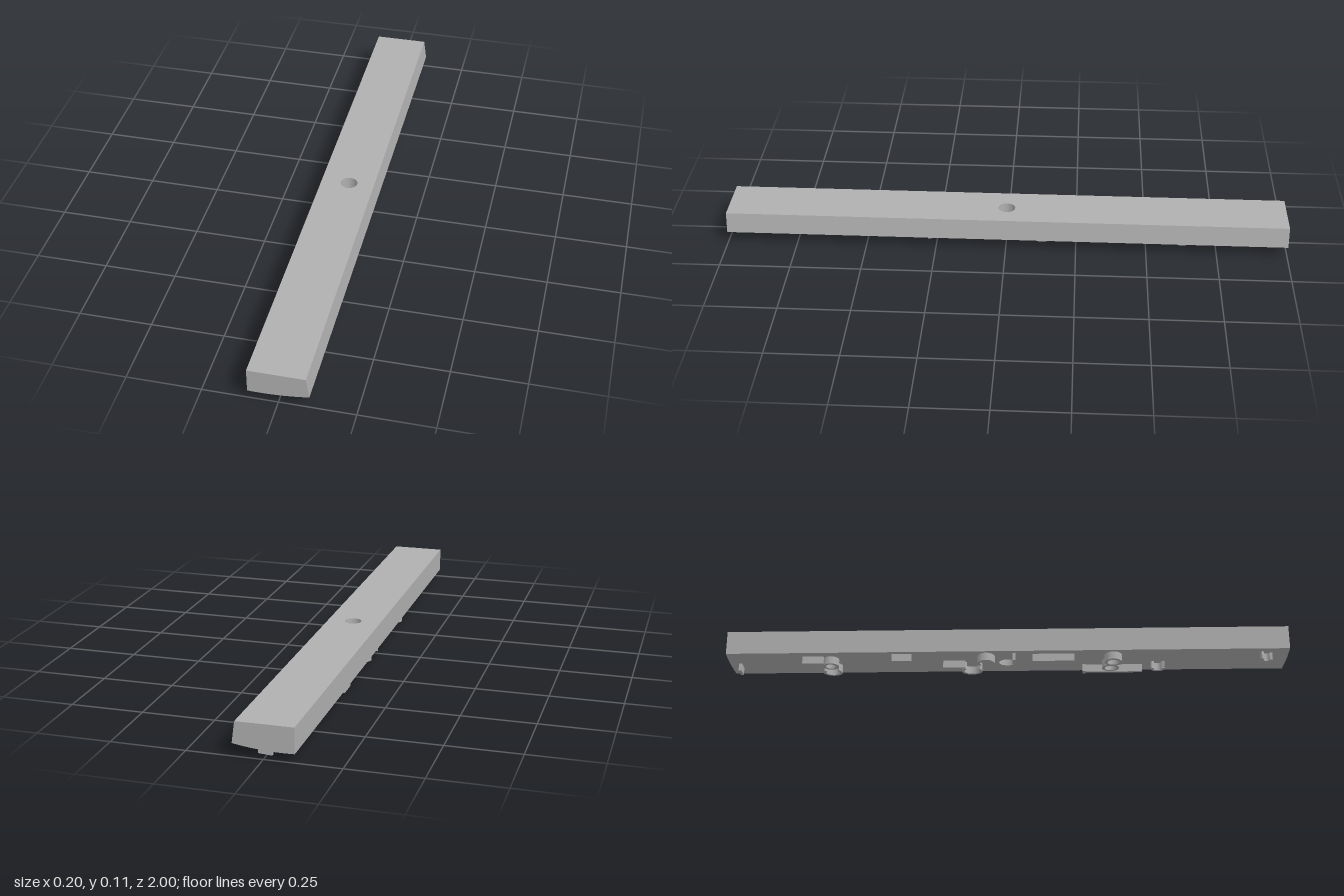
import * as THREE from 'three';

const TOP = 0.115, HOLE = 0.03, RELIEF = 0.028;
// Gently curved underside across the bar
const under = (x) => 0.028 + 0.55 * (x + 0.06) ** 2;

// Solid length of bar with the curved base and one sloping side
function barSection(z0, z1) {
  const s = new THREE.Shape();
  s.moveTo(0.09, TOP);
  s.lineTo(-0.1, TOP);
  for (let i = 0; i <= 12; i++) {
    const x = -0.1 + (0.2 * i) / 12;
    s.lineTo(x, under(x));
  }
  s.closePath();
  const g = new THREE.ExtrudeGeometry(s, { depth: z1 - z0, bevelEnabled: false });
  return g.translate(0, 0, z0);
}

// Middle block: a closed cross-section swept round the vertical hole
function drilledSection() {
  const N = 48, steps = 5, pos = [], idx = [];
  for (let i = 0; i < N; i++) {
    const a = (i / N) * Math.PI * 2, c = Math.cos(a), s = Math.sin(a);
    const far = 0.1 / Math.max(Math.abs(c), Math.abs(s));
    pos.push(c * HOLE, TOP, s * HOLE);
    pos.push(Math.min(c * far, 0.09), TOP, s * far);
    for (let k = 0; k <= steps; k++) {
      const r = far + ((HOLE - far) * k) / steps;
      pos.push(c * r, under(c * r), s * r);
    }
  }
  const M = steps + 3;
  for (let i = 0; i < N; i++) {
    for (let k = 0; k < M; k++) {
      const n = (i + 1) % N, m = (k + 1) % M;
      const a = i * M + k, b = i * M + m, c = n * M + m, d = n * M + k;
      idx.push(a, d, b, b, d, c);
    }
  }
  const g = new THREE.BufferGeometry();
  g.setAttribute('position', new THREE.Float32BufferAttribute(pos, 3));
  g.setIndex(idx);
  const flat = g.toNonIndexed();
  flat.computeVertexNormals();
  return flat;
}

// Extrude a plan outline (x, z) into a ridge that follows the underside
function ridge(shape) {
  const g = new THREE.ExtrudeGeometry(shape, { depth: 1, bevelEnabled: false, curveSegments: 20 });
  g.rotateX(Math.PI / 2);
  const p = g.attributes.position;
  for (let i = 0; i < p.count; i++) {
    const y = under(p.getX(i));
    p.setY(i, p.getY(i) < -0.5 ? y - RELIEF : y + 0.003);
  }
  g.computeVertexNormals();
  return g;
}

function rectangle(x, z0, z1, w) {
  const s = new THREE.Shape();
  s.moveTo(x - w / 2, z0);
  s.lineTo(x + w / 2, z0);
  s.lineTo(x + w / 2, z1);
  s.lineTo(x - w / 2, z1);
  s.closePath();
  return s;
}

function ring(x, z, r, w) {
  const s = new THREE.Shape().absarc(x, z, r, 0, Math.PI * 2, false);
  s.holes.push(new THREE.Path().absarc(x, z, r - w, 0, Math.PI * 2, true));
  return s;
}

function arc(x, z, r, w, a0, a1) {
  const s = new THREE.Shape();
  s.absarc(x, z, r, a0, a1, false);
  s.absarc(x, z, r - w, a1, a0, true);
  s.closePath();
  return s;
}

export function createModel() {
  const model = new THREE.Group();
  model.name = 'barWithRaisedUnderside';
  const grey = new THREE.MeshStandardMaterial({ color: 0xb0b0b0 });
  grey.name = 'plain grey';
  const add = (name, geometry) => {
    const m = new THREE.Mesh(geometry, grey);
    m.name = name;
    model.add(m);
  };

  // Main bar
  add('frontBar', barSection(0.1, 1));
  add('backBar', barSection(-1, -0.1));
  add('drilledMiddle', drilledSection());

  // Straight ridges: x, z start, z end, width
  [
    [0.036, 0.27, 0.485, 0.012], [0.036, 0.27, 0.282, 0.028],
    [-0.07, 0.09, 0.24, 0.012], [-0.068, 0.02, 0.03, 0.036],
    [-0.02, -0.23, -0.15, 0.012], [-0.08, -0.41, -0.34, 0.012],
    [-0.067, -0.73, -0.655, 0.012], [0.005, -0.968, -0.957, 0.045],
  ].forEach(([x, a, b, w]) => add('straightRidge', ridge(rectangle(x, a, b, w))));

  // Full rings: x, z, radius
  [
    [-0.006, 0.37, 0.031], [-0.058, 0.378, 0.031], [-0.045, -0.63, 0.028],
  ].forEach(([x, z, r]) => add('ringRidge', ridge(ring(x, z, r, 0.01))));

  // Open arcs: x, z, radius, start and end angle
  [
    [-0.068, 0.92, 0.021, -2.2, 1.6], [0.007, 0.54, 0.025, -2.0, 2.0],
    [0.013, -0.128, 0.037, -2.4, 2.2], [-0.058, -0.075, 0.031, 1.6, 5.4],
    [0.015, -0.63, 0.034, -2.2, 2.4],
  ].forEach(([x, z, r, a, b]) => add('arcRidge', ridge(arc(x, z, r, 0.01, a, b))));

  return model;
}
